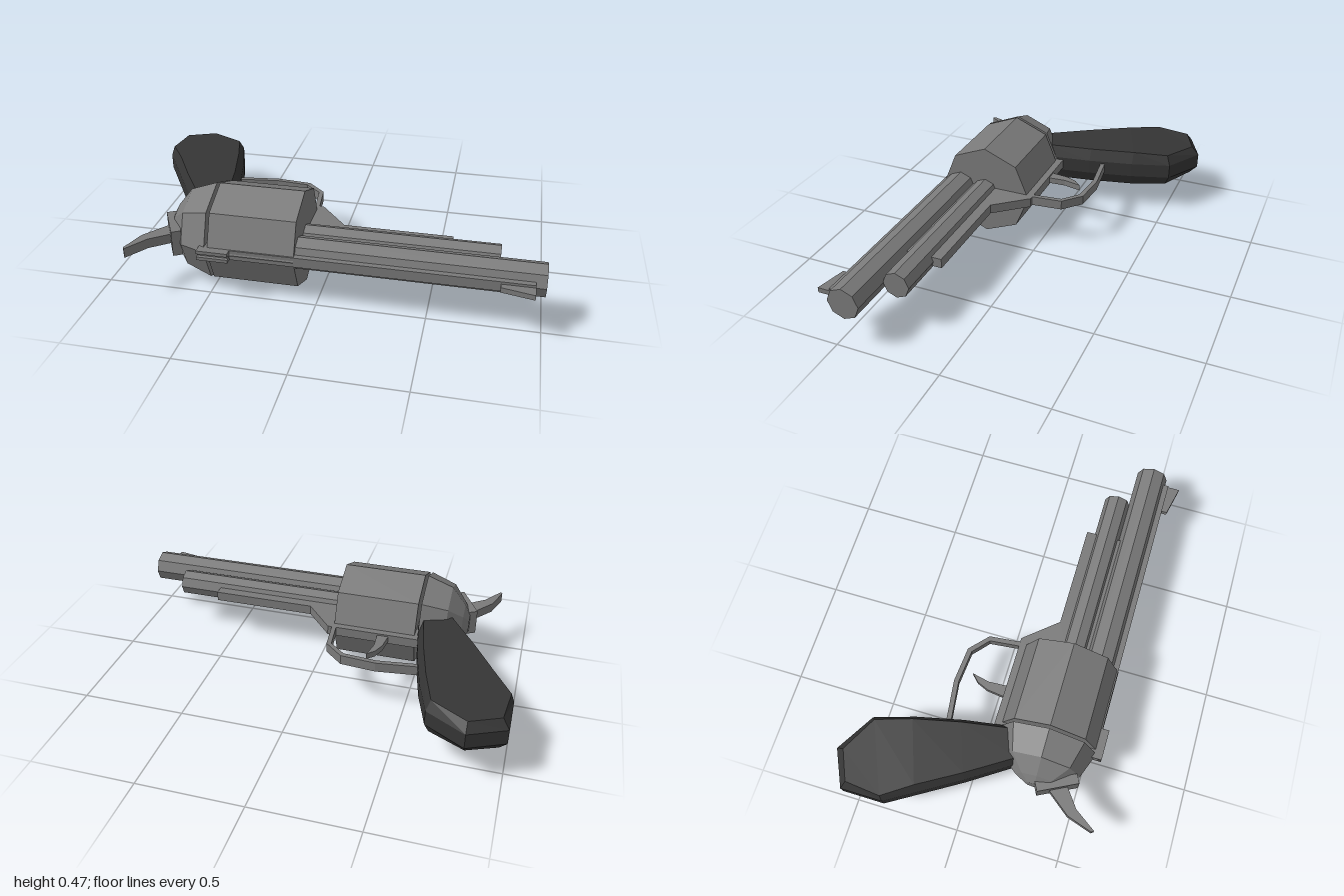
import * as THREE from 'three';

const MID = 0.238; // height of the symmetry plane (the gun lies on its side)
const metal = new THREE.MeshStandardMaterial({ color: 0x7a7a7a, flatShading: true });
const gripMat = new THREE.MeshStandardMaterial({ color: 0x353535, flatShading: true });

function add(group, name, geometry, material = metal) {
  const mesh = new THREE.Mesh(geometry, material);
  mesh.name = name;
  group.add(mesh);
  return mesh;
}

// Flat plate from an outline in (x, z), centred on the symmetry plane
function plate(points, thickness, offset = 0) {
  const shape = new THREE.Shape(points.map(p => new THREE.Vector2(p[0], p[1])));
  const g = new THREE.ExtrudeGeometry(shape, { depth: thickness, bevelEnabled: false });
  g.translate(0, 0, -thickness / 2);
  g.rotateX(Math.PI / 2);
  return g.translate(0, MID + offset, 0);
}

// Eight-sided bar along x
function bar(x0, x1, r0, r1, z) {
  const g = new THREE.CylinderGeometry(r1, r0, x1 - x0, 8);
  g.rotateZ(-Math.PI / 2);
  return g.translate((x0 + x1) / 2, MID, z);
}

// Grip: outline and inset loops stacked through the thickness
function gripGeometry() {
  const outer = [[-0.66, 0.2], [-0.8, -0.01], [-0.92, -0.208], [-1, -0.34], [-1, -0.54],
    [-0.83, -0.62], [-0.645, -0.51], [-0.585, -0.32], [-0.535, -0.1], [-0.495, 0.15]];
  const inner = [[-0.645, 0.19], [-0.78, -0.02], [-0.895, -0.215], [-0.985, -0.35], [-0.968, -0.52],
    [-0.83, -0.582], [-0.662, -0.49], [-0.61, -0.32], [-0.56, -0.1], [-0.52, 0.14]];
  const innerH = [0.094, 0.094, 0.094, 0.084, 0.079, 0.077, 0.084, 0.094, 0.094, 0.094];
  const n = outer.length, pos = [], idx = [];
  const ring = (pts, h) => pts.forEach((p, i) => pos.push(p[0], MID + h(i), p[1]));
  ring(inner, i => -innerH[i]);
  ring(outer, () => -0.036);
  ring(outer, () => 0.036);
  ring(inner, i => innerH[i]);
  for (let r = 0; r < 3; r++) for (let i = 0; i < n; i++) {
    const j = (i + 1) % n, a = r * n + i, b = r * n + j, c = b + n, d = a + n;
    idx.push(a, c, b, a, d, c);
  }
  // side faces, as strips between the back and front edges
  for (let i = 0; i < n / 2 - 1; i++) {
    const a = i, b = i + 1, c = n - 2 - i, d = n - 1 - i, t = 3 * n;
    idx.push(a, c, b, a, d, c);
    idx.push(t + a, t + b, t + c, t + a, t + c, t + d);
  }
  // orient every triangle away from the middle of the grip
  const v = k => new THREE.Vector3().fromArray(pos, k * 3);
  const centre = new THREE.Vector3(-0.74, MID, -0.22);
  for (let k = 0; k < idx.length; k += 3) {
    const [a, b, c] = [v(idx[k]), v(idx[k + 1]), v(idx[k + 2])];
    const normal = b.clone().sub(a).cross(c.clone().sub(a));
    if (normal.dot(a.add(b).add(c).divideScalar(3).sub(centre)) < 0)
      [idx[k + 1], idx[k + 2]] = [idx[k + 2], idx[k + 1]];
  }
  const g = new THREE.BufferGeometry();
  g.setAttribute('position', new THREE.Float32BufferAttribute(pos, 3));
  g.setIndex(idx);
  g.computeVertexNormals();
  return g;
}

export function createModel() {
  const gun = new THREE.Group();
  gun.name = 'revolver';

  // Rotating cylinder, barrel and ejector rod
  add(gun, 'cylinder', bar(-0.49, -0.09, 0.236, 0.236, 0.302));
  add(gun, 'barrel', bar(-0.1, 1, 0.077, 0.077, 0.441));
  add(gun, 'ejectorRod', bar(-0.1, 0.8, 0.064, 0.064, 0.304));

  // Tapered recoil shield behind the cylinder
  const profile = [[0, -0.505], [0.236, -0.505], [0.19, -0.63], [0.1, -0.7], [0.045, -0.728], [0, -0.728]]
    .reverse().map(([r, x]) => new THREE.Vector2(r, x));
  const shield = new THREE.LatheGeometry(profile, 8);
  shield.rotateZ(-Math.PI / 2);
  shield.translate(0, MID, 0.302);
  add(gun, 'recoilShield', shield);

  // Thin frame with top strap, sighting rib and lower lug
  add(gun, 'frame', plate([[-0.53, 0.535], [0.955, 0.535], [0.955, 0.44], [0.58, 0.44], [0.58, 0.2],
    [0.07, 0.2], [-0.065, 0.042], [-0.52, 0.042]], 0.047));

  // Sights
  add(gun, 'frontSight', plate([[0.81, 0.52], [0.955, 0.52], [0.955, 0.593], [0.81, 0.562]], 0.024));
  add(gun, 'rearSightBase', plate([[-0.53, 0.5], [-0.385, 0.5], [-0.385, 0.55], [-0.53, 0.55]], 0.047));
  for (const side of [-1, 1])
    add(gun, 'rearSightLeaf', plate([[-0.53, 0.54], [-0.385, 0.54], [-0.385, 0.567], [-0.53, 0.567]],
      0.016, side * 0.0155));

  // Hammer
  add(gun, 'hammerBase', plate([[-0.76, 0.322], [-0.72, 0.3], [-0.63, 0.475], [-0.67, 0.497]], 0.125));
  add(gun, 'hammerSpur', plate([[-0.735, 0.375], [-0.68, 0.44], [-0.78, 0.515], [-0.85, 0.617],
    [-0.858, 0.605], [-0.82, 0.485]], 0.047));

  // Trigger and its guard
  add(gun, 'trigger', plate([[-0.37, 0.06], [-0.358, -0.04], [-0.335, -0.095], [-0.3, -0.13],
    [-0.318, -0.045], [-0.312, 0.06]], 0.03));
  add(gun, 'triggerGuard', plate([[-0.57, -0.178], [-0.36, -0.205], [-0.19, -0.19], [-0.1, -0.108],
    [-0.083, 0.06], [-0.105, 0.06], [-0.122, -0.1], [-0.2, -0.168], [-0.36, -0.182], [-0.57, -0.155]], 0.047));

  // Grip
  add(gun, 'grip', gripGeometry(), gripMat);
  return gun;
}
